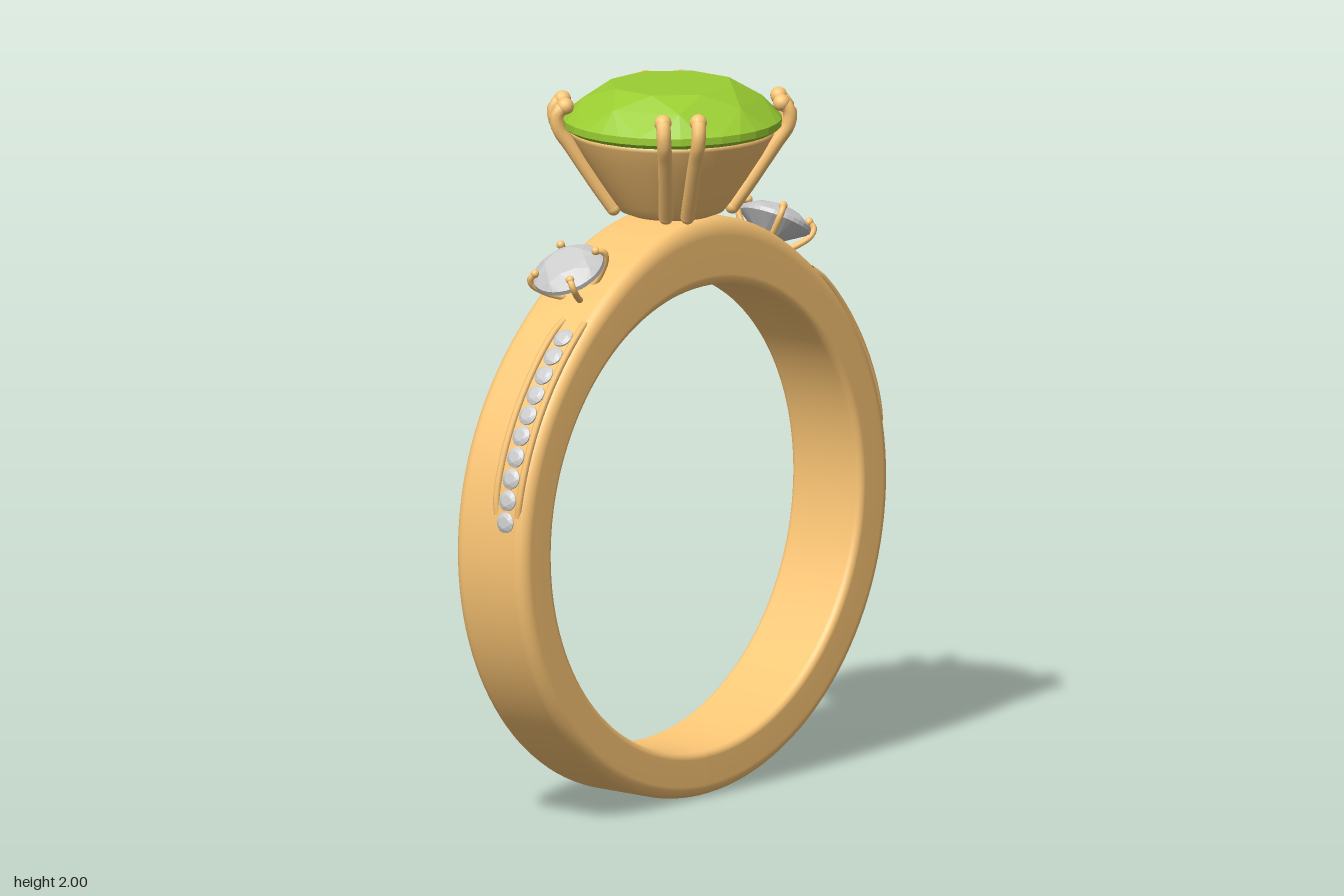
import * as THREE from 'three';
import { ConvexGeometry } from 'three/addons/geometries/ConvexGeometry.js';

const gold = new THREE.MeshStandardMaterial({ color: 0xfcc675, side: THREE.DoubleSide });
const green = new THREE.MeshStandardMaterial({ color: 0x9acd32, flatShading: true });
const clear = new THREE.MeshStandardMaterial({ color: 0xcccccc, flatShading: true });

const CENTRE = 0.79, INNER = 0.655, OUTER = 0.785, HALF = 0.128;

// Extra thickness of the band towards the top
const swell = (fromTop) => 0.06 * Math.max(0, Math.cos(fromTop)) ** 8;

function add(parent, name, geometry, material) {
  const mesh = new THREE.Mesh(geometry, material);
  mesh.name = name;
  parent.add(mesh);
  return mesh;
}

// Faceted round stone, girdle at y = 0
function stoneGeometry(r, crown, depth, girdle, sides = 8) {
  const points = [new THREE.Vector3(0, -depth, 0)];
  const ring = (radius, y, n, turn) => {
    for (let i = 0; i < n; i++) {
      const a = ((i + turn) / n) * Math.PI * 2;
      points.push(new THREE.Vector3(radius * Math.sin(a), y, radius * Math.cos(a)));
    }
  };
  ring(r * 0.58, crown, sides, 0.5);
  ring(r * 0.82, crown * 0.64, sides, 0);
  ring(r, girdle / 2, sides * 4, 0);
  ring(r, -girdle / 2, sides * 4, 0);
  ring(r * 0.5, -depth * 0.56, sides, 0.5);
  return new ConvexGeometry(points);
}

// Round wire through points, with a ball on its end
function addProng(parent, name, points, radius, ball) {
  const group = new THREE.Group();
  group.name = name;
  const curve = new THREE.CatmullRomCurve3(points);
  add(group, 'prongWire', new THREE.TubeGeometry(curve, 20, radius, 10), gold);
  for (const [p, r] of [[points[0], radius], [points[points.length - 1], ball]]) {
    add(group, 'prongEnd', new THREE.SphereGeometry(r, 14, 10), gold).position.copy(p);
  }
  parent.add(group);
}

function bandGeometry() {
  // Rounded cross-section, counter-clockwise
  const profile = [];
  const corner = (r, z, radius, start) => {
    for (let i = 0; i <= 6; i++) {
      const a = start + (i / 6) * Math.PI / 2;
      profile.push(new THREE.Vector2(r + radius * Math.cos(a), z + radius * Math.sin(a)));
    }
  };
  const ro = 0.035, ri = 0.02;
  corner(OUTER - ro, -HALF + ro, ro, -Math.PI / 2);
  corner(OUTER - ro, HALF - ro, ro, 0);
  corner(INNER + ri, HALF - ri, ri, Math.PI / 2);
  corner(INNER + ri, -HALF + ri, ri, Math.PI);
  profile.push(profile[0].clone());
  const g = new THREE.LatheGeometry(profile, 128);
  g.rotateX(Math.PI / 2);
  // Thicken the outside towards the top
  const p = g.attributes.position;
  for (let i = 0; i < p.count; i++) {
    const x = p.getX(i), y = p.getY(i), r = Math.hypot(x, y);
    const t = (r - INNER) / (OUTER - INNER);
    const k = (r + t * swell(Math.atan2(x, y))) / r;
    p.setXY(i, x * k, y * k);
  }
  g.computeVertexNormals();
  return g;
}

function buildMainSetting() {
  const setting = new THREE.Group();
  setting.name = 'mainSetting';
  // Cup under the large stone
  const cup = [[0, 1.635], [0.12, 1.635], [0.145, 1.645], [0.165, 1.67], [0.205, 1.73],
    [0.25, 1.80], [0.283, 1.86], [0.286, 1.872], [0.275, 1.872]];
  add(setting, 'cup', new THREE.LatheGeometry(cup.map(([x, y]) => new THREE.Vector2(x, y)), 64), gold);
  add(setting, 'mainStone', stoneGeometry(0.305, 0.105, 0.2, 0.02), green).position.y = 1.895;
  // Four pairs of claws: radius, height, sideways offset
  const path = [[0.165, 1.655, 0.03], [0.21, 1.72, 0.034], [0.285, 1.835, 0.042],
    [0.32, 1.89, 0.047], [0.322, 1.93, 0.049], [0.3, 1.95, 0.049]];
  for (let q = 0; q < 4; q++) {
    const claws = new THREE.Group();
    claws.name = 'clawPair';
    for (const side of [-1, 1]) {
      addProng(claws, 'claw', path.map(([r, y, t]) => new THREE.Vector3(side * t, y, r)), 0.02, 0.024);
    }
    claws.rotation.y = Math.PI / 4 + q * Math.PI / 2;
    setting.add(claws);
  }
  return setting;
}

// Small stone held by four claws, standing out from the band
function buildSideSetting(side) {
  const pivot = new THREE.Group();
  pivot.name = side > 0 ? 'leftSideSetting' : 'rightSideSetting';
  pivot.position.y = CENTRE;
  pivot.rotation.z = -side * 0.53;
  add(pivot, 'sideStone', stoneGeometry(0.103, 0.035, 0.075, 0.012), clear).position.y = 0.872;
  const path = [[0.045, 0.795], [0.075, 0.82], [0.108, 0.865], [0.108, 0.888], [0.09, 0.9]];
  for (let i = 0; i < 4; i++) {
    const a = Math.PI / 4 + i * Math.PI / 2;
    addProng(pivot, 'sideClaw',
      path.map(([r, y]) => new THREE.Vector3(r * Math.sin(a), y, r * Math.cos(a))), 0.009, 0.012);
  }
  return pivot;
}

// Row of tiny stones between two thin rails on the shoulder
function buildChannel(side) {
  const channel = new THREE.Group();
  channel.name = side > 0 ? 'leftChannel' : 'rightChannel';
  channel.position.y = CENTRE;
  const geometry = stoneGeometry(0.029, 0.009, 0.02, 0.004, 6);
  for (let i = 0; i < 10; i++) {
    const a = 0.128 + i * 0.078;
    const stone = add(channel, 'channelStone', geometry, clear);
    const r = OUTER + swell(Math.PI / 2 - a);
    stone.position.set(side * r * Math.cos(a), r * Math.sin(a), 0.058);
    stone.rotation.z = -side * (Math.PI / 2 - a);
  }
  for (const z of [0.015, 0.101]) {
    const points = [];
    for (let i = 0; i <= 16; i++) {
      // Rail ends sink into the band and lean towards the stones
      const t = i / 16, a = 0.15 + t * 0.76;
      const end = Math.abs(2 * t - 1) ** 8;
      const r = OUTER + swell(Math.PI / 2 - a) + 0.001 - 0.009 * end;
      points.push(new THREE.Vector3(side * r * Math.cos(a), r * Math.sin(a),
        z + Math.sign(0.058 - z) * 0.006 * end));
    }
    add(channel, 'rail', new THREE.TubeGeometry(new THREE.CatmullRomCurve3(points), 48, 0.01, 8), gold);
  }
  return channel;
}

export function createModel() {
  const ring = new THREE.Group();
  ring.name = 'ring';
  add(ring, 'band', bandGeometry(), gold).position.y = CENTRE - 0.005;
  ring.add(buildMainSetting());
  for (const side of [-1, 1]) ring.add(buildSideSetting(side), buildChannel(side));
  return ring;
}
